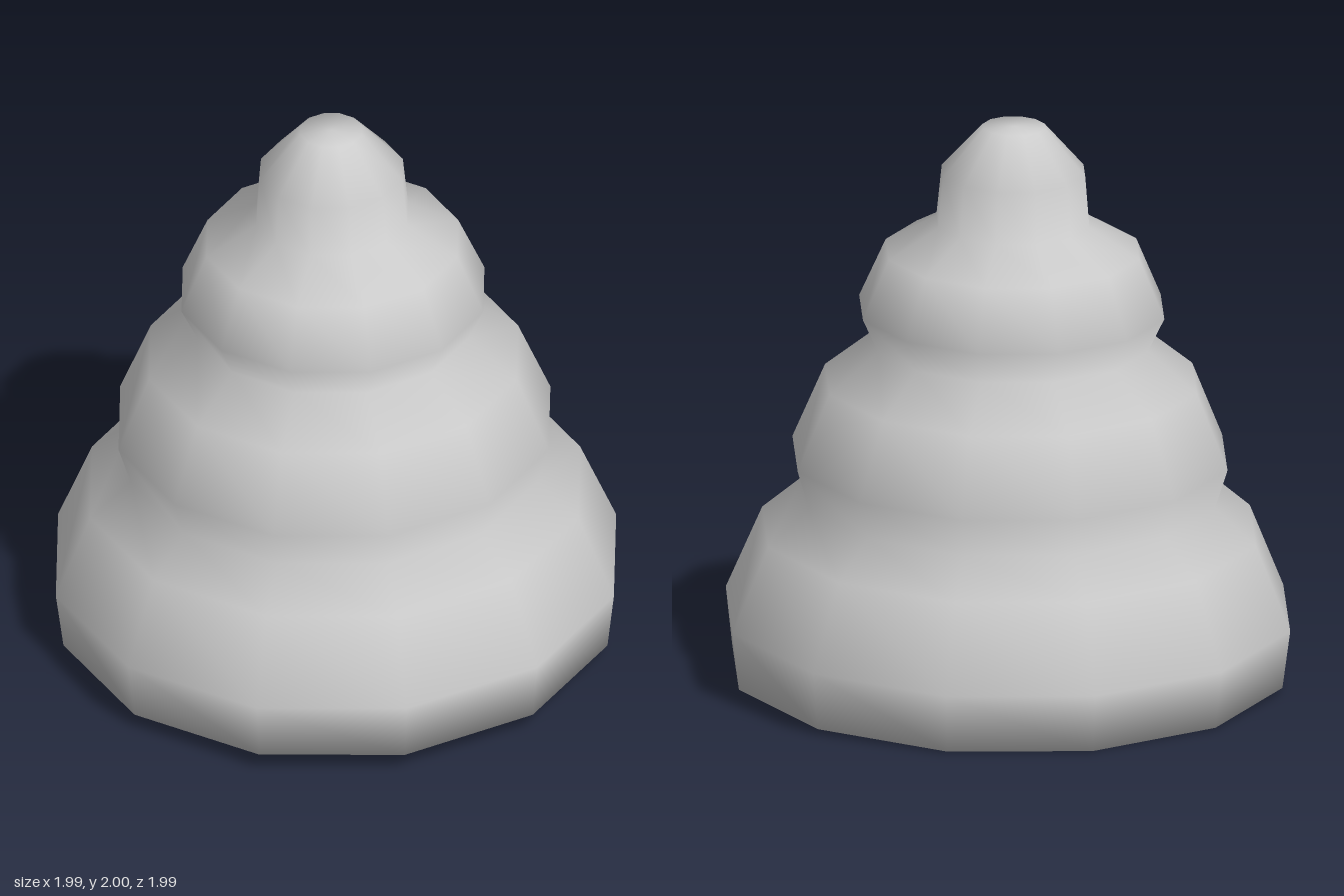
import * as THREE from 'three';
import { mergeVertices } from 'three/addons/utils/BufferGeometryUtils.js';

const SIDES = 12;
const TILT = 0.039; // leans slightly backwards

// Rings as [radius, height], grouped by tier
const tiers = [
  [[0, 0.038], [0.97, 0.038], [0.995, 0.245], [0.87, 0.545]], // base, closed underneath
  [[0.725, 0.67], [0.767, 0.81], [0.655, 1.08]],              // middle tier
  [[0.482, 1.22], [0.538, 1.34], [0.447, 1.55]],              // upper tier
  [[0.27, 1.65], [0.253, 1.835], [0.11, 1.996], [0, 1.996]],  // tip
];

// One smooth skin, with normals shared across the seam and the caps
function smoothLathe(profile) {
  const points = profile.map(([r, y]) => new THREE.Vector2(r, y));
  const lathe = new THREE.LatheGeometry(points, SIDES);
  lathe.deleteAttribute('normal');
  lathe.deleteAttribute('uv');
  const geometry = mergeVertices(lathe, 1e-4);
  geometry.computeVertexNormals();
  return geometry;
}

export function createModel() {
  const group = new THREE.Group();
  group.name = 'tieredMound';

  const material = new THREE.MeshStandardMaterial({ color: 0xcccccc });
  const mound = new THREE.Mesh(smoothLathe(tiers.flat()), material);
  mound.name = 'stackedTiers';
  mound.rotation.x = -TILT;
  mound.position.z = 0.008;
  group.add(mound);

  return group;
}
